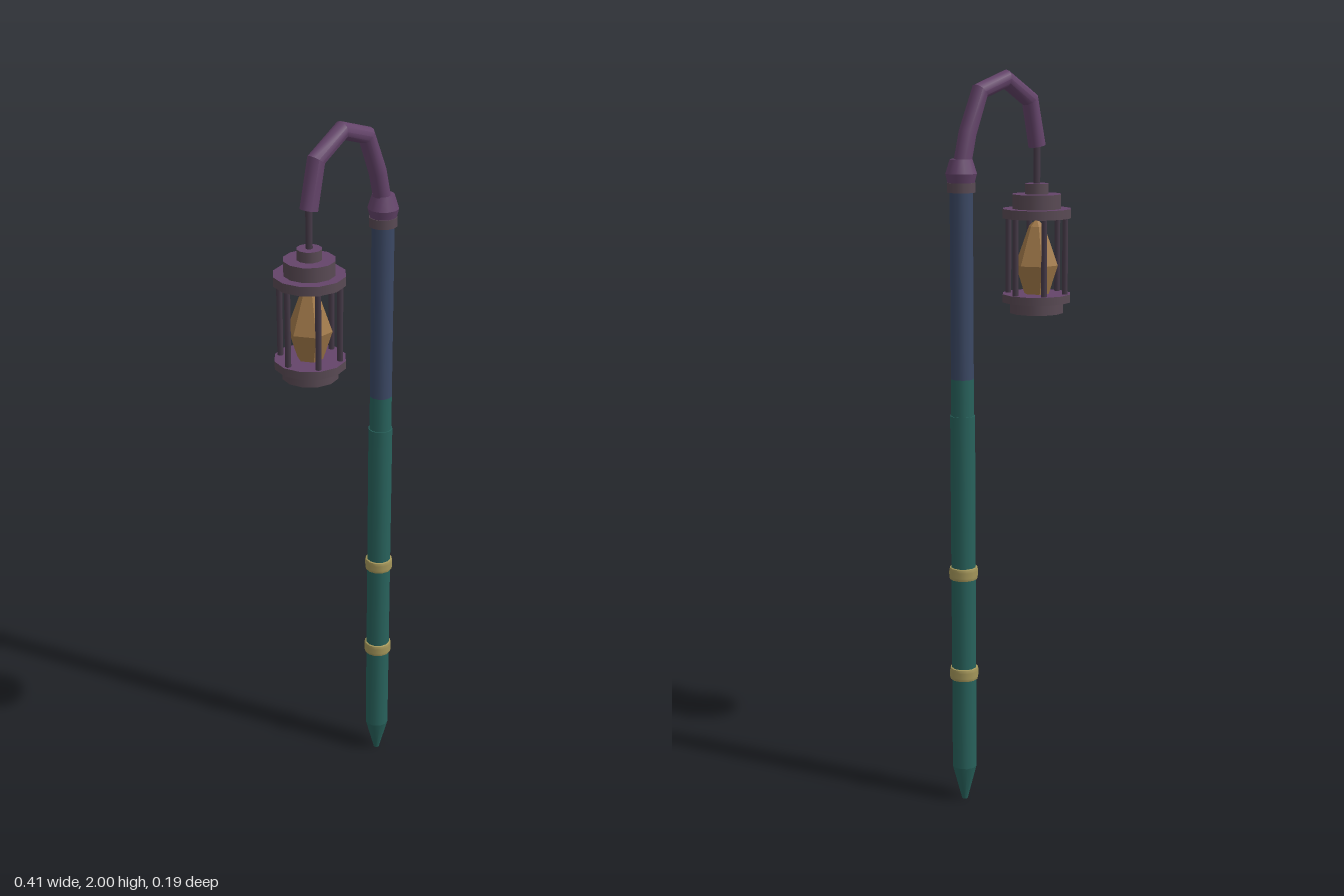
import * as THREE from 'three';
import { toCreasedNormals } from 'three/addons/utils/BufferGeometryUtils.js';

const POLE_X = 0.163, LAMP_X = -0.112, SIDES = 12;

const material = (name, color) => {
  const m = new THREE.MeshStandardMaterial({ color });
  m.name = name;
  return m;
};

// Curve that keeps its corners: one tube ring lands on each given point
class CorneredPath extends THREE.Curve {
  constructor(points) {
    super();
    this.points = points;
  }
  getPoint(t, target = new THREE.Vector3()) {
    const f = t * (this.points.length - 1);
    const i = Math.min(Math.floor(f + 1e-6), this.points.length - 2);
    return target.lerpVectors(this.points[i], this.points[i + 1], f - i);
  }
  getPointAt(t, target) {
    return this.getPoint(t, target);
  }
  getTangentAt(t, target = new THREE.Vector3()) {
    const p = this.points, i = Math.round(t * (p.length - 1));
    const out = new THREE.Vector3();
    if (i > 0) out.add(p[i].clone().sub(p[i - 1]).normalize());
    if (i < p.length - 1) out.add(p[i + 1].clone().sub(p[i]).normalize());
    return target.copy(out.normalize());
  }
}

export function createModel() {
  const purple = material('purple', 0x64446a);
  const teal = material('teal', 0x28625c);
  const blue = material('slateBlue', 0x3b4864);
  const gold = material('gold', 0xa4965a);
  const metal = material('brownMetal', 0x594a54);
  const dark = material('darkMetal', 0x463a48);
  const amber = material('amber', 0xa27a4a);

  const model = new THREE.Group();
  model.name = 'lanternPost';

  const add = (parent, name, geometry, mat, x = 0, y = 0, z = 0) => {
    const mesh = new THREE.Mesh(geometry, mat);
    mesh.name = name;
    mesh.position.set(x, y, z);
    parent.add(mesh);
    return mesh;
  };
  // Cylinder between two heights, with bottom and top radii
  const drum = (parent, name, mat, y0, y1, r0, r1 = r0, x = 0, z = 0, sides = SIDES) =>
    add(parent, name, new THREE.CylinderGeometry(r1, r0, y1 - y0, sides), mat, x, (y0 + y1) / 2, z);

  // Pole with a pointed foot
  const pole = new THREE.Group();
  pole.name = 'pole';
  pole.position.x = POLE_X;
  model.add(pole);
  drum(pole, 'poleTip', teal, 0, 0.1, 0.008, 0.034);
  drum(pole, 'lowerPole', teal, 0.1, 1.1, 0.034);
  drum(pole, 'middlePole', teal, 1.1, 1.2, 0.031);
  drum(pole, 'upperPole', blue, 1.2, 1.69, 0.031);

  // Gold bands with bevelled rims
  for (const y of [0.375, 0.663]) {
    const profile = [[0.032, -0.018], [0.038, -0.016], [0.04, -0.008], [0.04, 0.008], [0.038, 0.016], [0.032, 0.018]]
      .map(([r, h]) => new THREE.Vector2(r, h));
    add(pole, 'goldBand', toCreasedNormals(new THREE.LatheGeometry(profile, SIDES), 0.6), gold, 0, y);
  }

  // Collar joining pole and arm
  drum(pole, 'collarRing', metal, 1.69, 1.715, 0.038);
  drum(pole, 'collar', purple, 1.715, 1.738, 0.036, 0.042);
  drum(pole, 'collarShoulder', purple, 1.738, 1.775, 0.042, 0.03);

  // Bent arm
  const path = [[0.163, 1.74], [0.157, 1.77], [0.14, 1.84], [0.096, 1.945], [0.005, 1.976], [-0.085, 1.921], [LAMP_X, 1.8]]
    .map(([x, y]) => new THREE.Vector3(x, y, 0));
  const tube = new THREE.TubeGeometry(new CorneredPath(path), path.length - 1, 0.024, SIDES, false);
  add(model, 'arm', toCreasedNormals(tube, 0.55), purple);
  const end = path[path.length - 1], before = path[path.length - 2];
  const cap = add(model, 'armEnd', new THREE.CircleGeometry(0.024, SIDES), purple, end.x, end.y, 0);
  cap.quaternion.setFromUnitVectors(new THREE.Vector3(0, 0, 1), end.clone().sub(before).normalize());

  // Hanging lantern: metal rims with purple upper faces
  const lantern = new THREE.Group();
  lantern.name = 'lantern';
  lantern.position.x = LAMP_X;
  model.add(lantern);
  const rim = [metal, purple, metal];
  drum(lantern, 'hangerRod', dark, 1.69, 1.815, 0.009, 0.009, 0, 0, 8);
  drum(lantern, 'topKnob', rim, 1.672, 1.7, 0.033);
  drum(lantern, 'roofCap', rim, 1.632, 1.672, 0.068);
  drum(lantern, 'upperRing', rim, 1.608, 1.633, 0.095);
  drum(lantern, 'lowerRing', rim, 1.38, 1.402, 0.095);
  drum(lantern, 'base', metal, 1.35, 1.381, 0.075);

  // Six cage posts
  for (let i = 0; i < 6; i++) {
    const a = i * Math.PI / 3;
    drum(lantern, 'cagePost', dark, 1.4, 1.61, 0.008, 0.008, 0.08 * Math.cos(a), 0.08 * Math.sin(a), 6);
  }

  // Faceted flame
  const flameProfile = [[0.034, 1.4], [0.06, 1.48], [0.022, 1.585], [0.001, 1.605]]
    .map(([r, y]) => new THREE.Vector2(r, y));
  const flame = new THREE.LatheGeometry(flameProfile, 6, Math.PI / 6).toNonIndexed();
  flame.computeVertexNormals();
  add(lantern, 'flame', flame, amber);

  return model;
}
